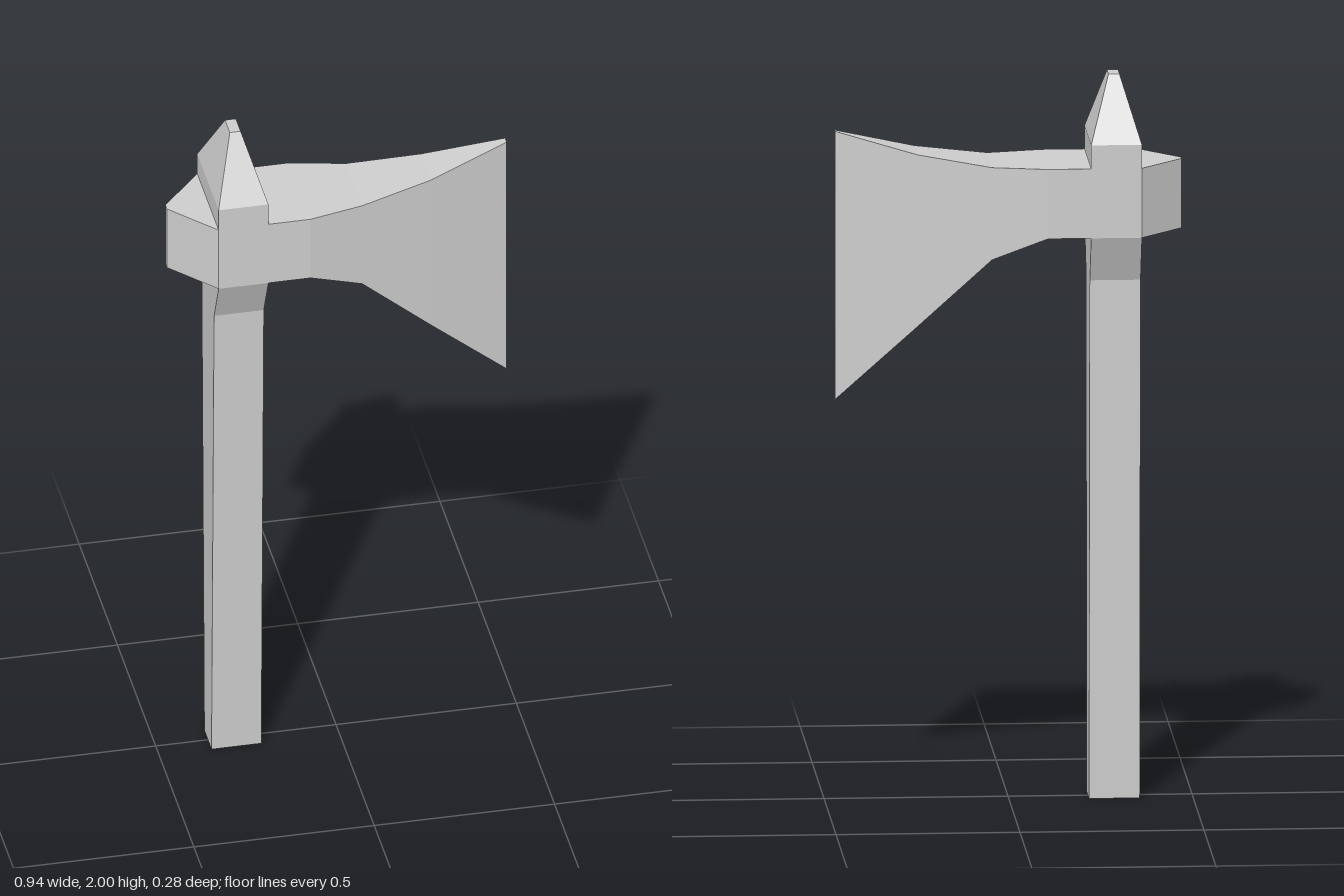
import * as THREE from 'three';

// Flat-shaded skin over a row of four-cornered rings, capped at both ends
function loft(rings) {
  const pos = [];
  const quad = (a, b, c, d) => pos.push(...a, ...b, ...c, ...a, ...c, ...d);
  for (let k = 0; k < rings.length - 1; k++) {
    const a = rings[k], b = rings[k + 1];
    for (let i = 0; i < 4; i++) {
      const j = (i + 1) % 4;
      quad(a[i], a[j], b[j], b[i]);
    }
  }
  quad(...rings[0].slice().reverse());
  quad(...rings[rings.length - 1]);
  const geo = new THREE.BufferGeometry();
  geo.setAttribute('position', new THREE.Float32BufferAttribute(pos, 3));
  geo.computeVertexNormals();
  return geo;
}

// Horizontal ring at height y
const ringY = ([y, x0, x1, hz]) => [[x0, y, hz], [x1, y, hz], [x1, y, -hz], [x0, y, -hz]];
// Upright ring at position x
const ringX = ([x, y0, y1, hz]) => [[x, y0, hz], [x, y0, -hz], [x, y1, -hz], [x, y1, hz]];

export function createModel() {
  const group = new THREE.Group();
  const grey = new THREE.MeshStandardMaterial({ color: 0xcccccc });
  grey.name = 'plain grey';

  const add = (name, rings) => {
    const mesh = new THREE.Mesh(loft(rings), grey);
    mesh.name = name;
    group.add(mesh);
  };

  const L = -0.355, R = -0.217;

  // Tapered handle flaring out below the head
  add('handle', [
    [0, L, R, 0.047],
    [1.44, L, R, 0.08],
    [1.568, L, R, 0.14],
  ].map(ringY));

  // Axe head from the blunt back, through the socket, to the cutting edge
  add('axeHead', [
    [-0.471, 1.568, 1.76, 0.01],
    [L, 1.568, 1.76, 0.14],
    [-0.1, 1.568, 1.76, 0.14],
    [0.05, 1.505, 1.76, 0.105],
    [0.25, 1.315, 1.79, 0.065],
    [0.471, 1.105, 1.847, 0.01],
  ].map(ringX));

  // Tapered cap on top of the head
  add('topSpike', [
    [1.76, L, R, 0.14],
    [1.825, L, R, 0.14],
    [2, -0.301, -0.271, 0.031],
  ].map(ringY));

  return group;
}
